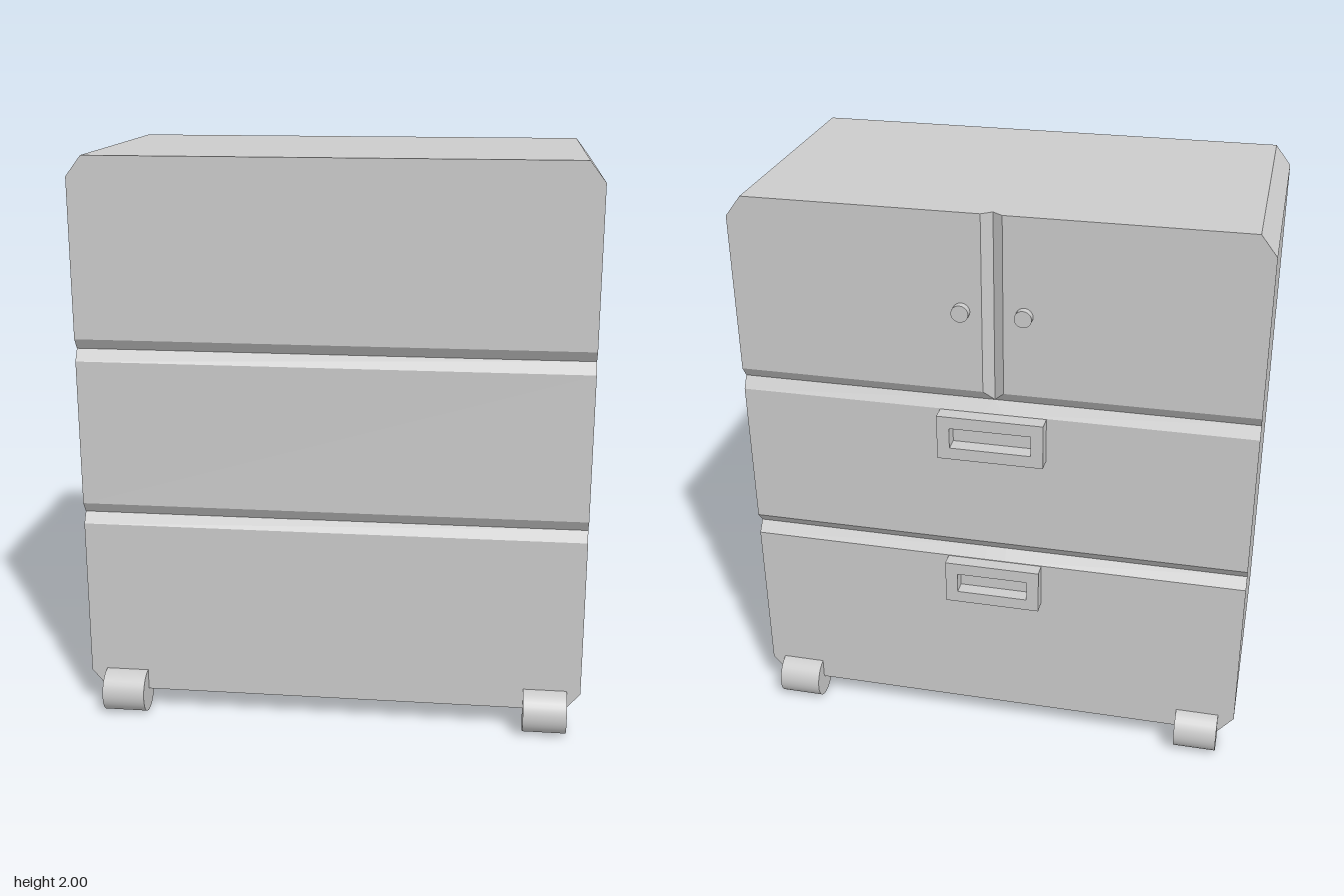
import * as THREE from 'three';

const material = new THREE.MeshStandardMaterial({ color: 0xcccccc });
const FRONT = 0.448, BACK = -0.463;

// Cabinet: plan outlines stacked at the heights where the profile changes
// [y, half width, front groove depth, back groove depth, notch half width, notch depth]
const levels = [
  [0.08, 0.828, 0, 0, 0.035, 0],
  [0.145, 0.882, 0, 0, 0.035, 0],
  [0.712, 0.882, 0, 0, 0.035, 0],
  [0.75, 0.882, 0.025, 0.03, 0.035, 0],
  [0.788, 0.882, 0, 0, 0.035, 0],
  [1.302, 0.882, 0, 0, 0.035, 0],
  [1.343, 0.882, 0.025, 0.025, 0, 0],
  [1.38, 0.882, 0, 0, 0.035, 0.025],
  [1.93, 0.882, 0, 0, 0.035, 0.025],
  [2, 0.828, 0, 0, 0.035, 0.025],
];

function cabinetGeometry() {
  const rings = levels.map(([y, w, front, back, nw, nd]) => {
    const zf = FRONT - front, zb = BACK + back;
    return [[w, y, zf], [w, y, zb], [nw, y, zb], [0, y, zb + nd], [-nw, y, zb], [-w, y, zb], [-w, y, zf]];
  });
  const n = rings[0].length, positions = [];
  const tri = (a, b, c) => positions.push(...a, ...b, ...c);
  for (let k = 0; k < rings.length - 1; k++) {
    const lo = rings[k], hi = rings[k + 1];
    for (let i = 0; i < n; i++) {
      const j = (i + 1) % n;
      tri(lo[i], lo[j], hi[j]);
      tri(lo[i], hi[j], hi[i]);
    }
  }
  // End caps fan out from the notch point
  const bottom = rings[0], top = rings[rings.length - 1];
  for (let i = 1; i < n - 1; i++) {
    const a = (3 + i) % n, b = (4 + i) % n;
    tri(top[3], top[a], top[b]);
    tri(bottom[3], bottom[b], bottom[a]);
  }
  const geometry = new THREE.BufferGeometry();
  geometry.setAttribute('position', new THREE.Float32BufferAttribute(positions, 3));
  geometry.computeVertexNormals();
  return geometry;
}

// Rectangular frame with an open middle
function handleGeometry(halfW, halfH, border, depth) {
  const rect = (path, w, h) => path.moveTo(-w, -h).lineTo(w, -h).lineTo(w, h).lineTo(-w, h).closePath();
  const shape = rect(new THREE.Shape(), halfW, halfH);
  shape.holes.push(rect(new THREE.Path(), halfW - border, halfH - border));
  return new THREE.ExtrudeGeometry(shape, { depth, bevelEnabled: false });
}

export function createModel() {
  const group = new THREE.Group();
  const add = (name, geometry, x, y, z) => {
    const mesh = new THREE.Mesh(geometry, material);
    mesh.name = name;
    mesh.position.set(x, y, z);
    group.add(mesh);
  };

  add('cabinet', cabinetGeometry(), 0, 0, 0);

  // Drawer handles
  add('upperDrawerHandle', handleGeometry(0.182, 0.08, 0.043, 0.065), 0.002, 1.22, -0.516);
  add('lowerDrawerHandle', handleGeometry(0.168, 0.08, 0.043, 0.06), 0.002, 0.63, -0.511);

  // Door knobs
  const knob = new THREE.CylinderGeometry(0.029, 0.029, 0.04, 24).rotateX(Math.PI / 2);
  for (const x of [-0.105, 0.103]) add('doorKnob', knob, x, 1.665, -0.468);

  // Wheels
  const wheel = new THREE.CylinderGeometry(0.077, 0.077, 0.152, 32).rotateZ(Math.PI / 2);
  for (const x of [-0.749, 0.758])
    for (const z of [-0.451, 0.45]) add('wheel', wheel, x, 0.077, z);

  return group;
}
